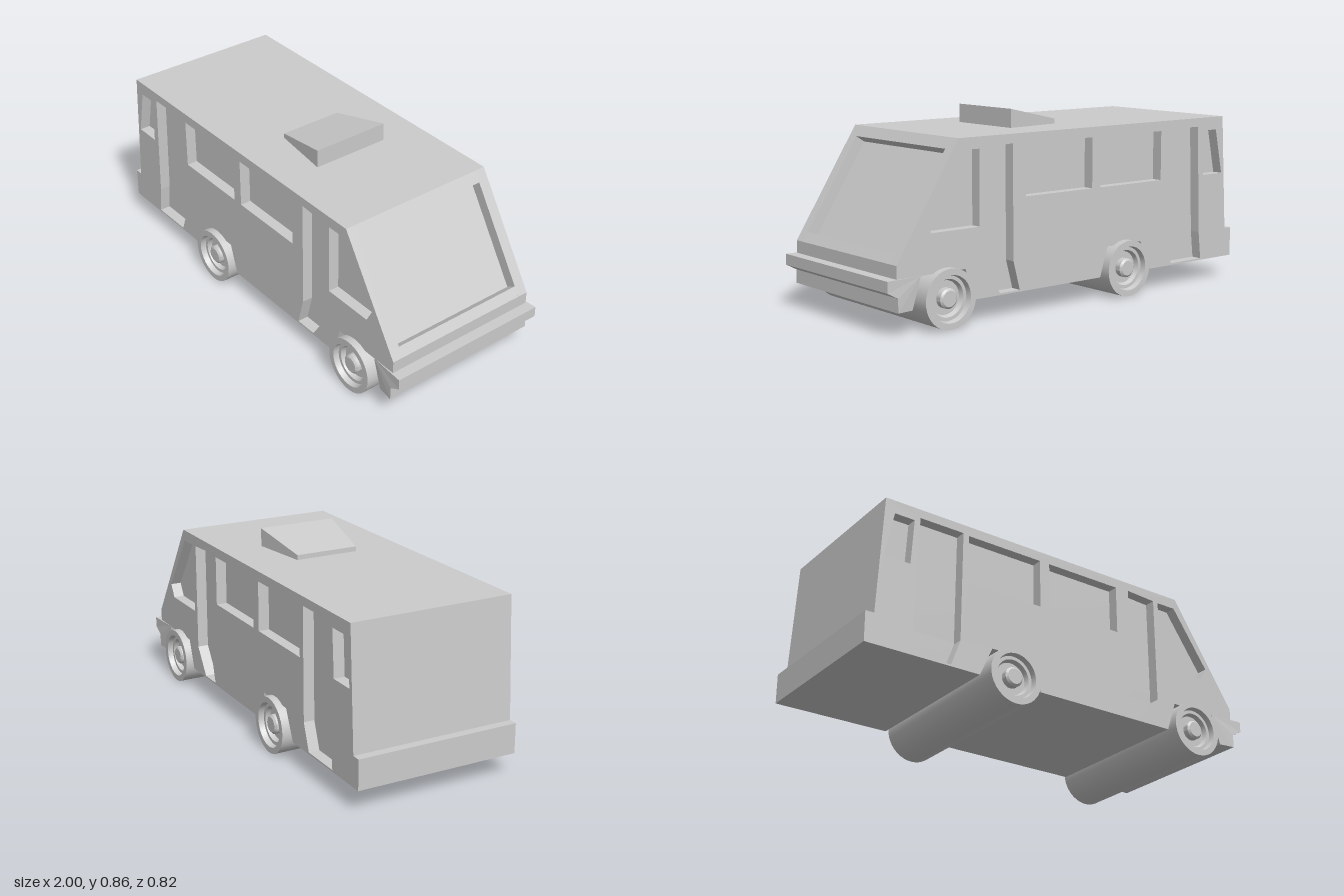
import * as THREE from 'three';
import { toCreasedNormals } from 'three/addons/utils/BufferGeometryUtils.js';

const HALF = 0.377;   // half width of the body
const INNER = 0.327;  // depth plane of the recessed doors and windows

const material = new THREE.MeshStandardMaterial({ color: 0xcccccc });
const paneMaterial = new THREE.MeshStandardMaterial({ color: 0xcccccc, side: THREE.DoubleSide });

const toPoints = (list) => list.map(([x, y]) => new THREE.Vector2(x, y));

function makeMesh(name, geometry, mat = material) {
  const mesh = new THREE.Mesh(geometry, mat);
  mesh.name = name;
  return mesh;
}

// Side outline extruded from z0 to z1, with optional openings
function slab(outline, z0, z1, openings = []) {
  const shape = new THREE.Shape(toPoints(outline));
  shape.holes = openings.map((o) => new THREE.Path(toPoints(o)));
  const geometry = new THREE.ExtrudeGeometry(shape, { depth: z1 - z0, bevelEnabled: false });
  return geometry.translate(0, 0, z0);
}

// Scale the width of a geometry by a rule of x
function taper(geometry, rule) {
  const p = geometry.attributes.position;
  for (let i = 0; i < p.count; i++) p.setZ(i, p.getZ(i) * rule(p.getX(i)));
  geometry.computeVertexNormals();
  return geometry;
}

const rect = (x0, x1, y0, y1) => [[x0, y0], [x1, y0], [x1, y1], [x0, y1]];

export function createModel() {
  const group = new THREE.Group();

  // Outline from the rear bumper along the floor, over both wheel arches, to the nose
  const lower = [
    [-1, 0.235], [-1, 0.1], [-0.455, 0.1], [-0.395, 0.235], [-0.19, 0.235], [-0.147, 0.1],
    [0.56, 0.1], [0.607, 0.235], [0.95, 0.235], [0.95, 0.29],
  ];
  const upper = [[0.64, 0.775], [-0.93, 0.775], [-0.96, 0.235]];
  const windshieldNotch = [[0.924, 0.33], [0.882, 0.303], [0.627, 0.703], [0.669, 0.73]];

  // Middle of the body, with the windshield set back
  group.add(makeMesh('bodyCore', slab([...lower, ...windshieldNotch, ...upper], -INNER, INNER)));

  // Door and window openings
  const cabWindow = [[0.532, 0.402], [0.778, 0.402], [0.81, 0.46], [0.63, 0.725], [0.532, 0.725]];
  const openings = [
    cabWindow,
    [[0.318, 0.108], [0.425, 0.108], [0.505, 0.23], [0.505, 0.727], [0.355, 0.735], [0.352, 0.235]],
    rect(-0.095, 0.283, 0.505, 0.73),
    rect(-0.52, -0.145, 0.505, 0.73),
    [[-0.794, 0.108], [-0.596, 0.108], [-0.553, 0.228], [-0.548, 0.735], [-0.762, 0.735], [-0.78, 0.235]],
    [[-0.928, 0.505], [-0.803, 0.505], [-0.79, 0.715], [-0.885, 0.715]],
  ];

  // Side walls and cab window panes
  for (const [side, s] of [['left', 1], ['right', -1]]) {
    const [z0, z1] = s > 0 ? [INNER, HALF] : [-HALF, -INNER];
    group.add(makeMesh(`${side}SideWall`, slab([...lower, ...upper], z0, z1, openings)));
    const pane = new THREE.ShapeGeometry(new THREE.Shape(toPoints(cabWindow)));
    pane.translate(0, 0, s * (INNER + 0.0005));
    group.add(makeMesh(`${side}CabWindow`, pane, paneMaterial));
  }

  // Front bumper, slightly wider than the body at the nose
  const bumper = slab([
    [0.832, 0.235], [0.874, 0.1], [0.95, 0.1], [0.95, 0.16], [1, 0.187], [1, 0.235],
  ], -0.387, 0.387);
  group.add(makeMesh('frontBumper', taper(bumper, (x) => (x < 0.9 ? 0.975 : 1))));

  // Wedge-shaped roof unit, narrower at the rear
  const wedge = slab([[-0.075, 0.77], [0.207, 0.77], [0.207, 0.858], [-0.075, 0.797]], -0.183, 0.183);
  group.add(makeMesh('roofUnit', taper(wedge, (x) => (x < 0 ? 0.81 : 1))));

  // Full-width wheel pairs with recessed rims and raised hubs
  const face = [
    [0.127, 0.41], [0.1, 0.41], [0.095, 0.385], [0.08, 0.385], [0.072, 0.365],
    [0.043, 0.365], [0.043, 0.392], [0.034, 0.4], [0, 0.4],
  ];
  const opposite = face.map(([r, z]) => [r, -z]).reverse();
  const lathe = new THREE.LatheGeometry(toPoints([...opposite, ...face]), 40).rotateX(Math.PI / 2);
  const wheelGeometry = toCreasedNormals(lathe, 0.5);
  for (const [name, x] of [['frontWheels', 0.705], ['rearWheels', -0.295]]) {
    const wheels = makeMesh(name, wheelGeometry);
    wheels.position.set(x, 0.127, 0);
    group.add(wheels);
  }

  return group;
}
